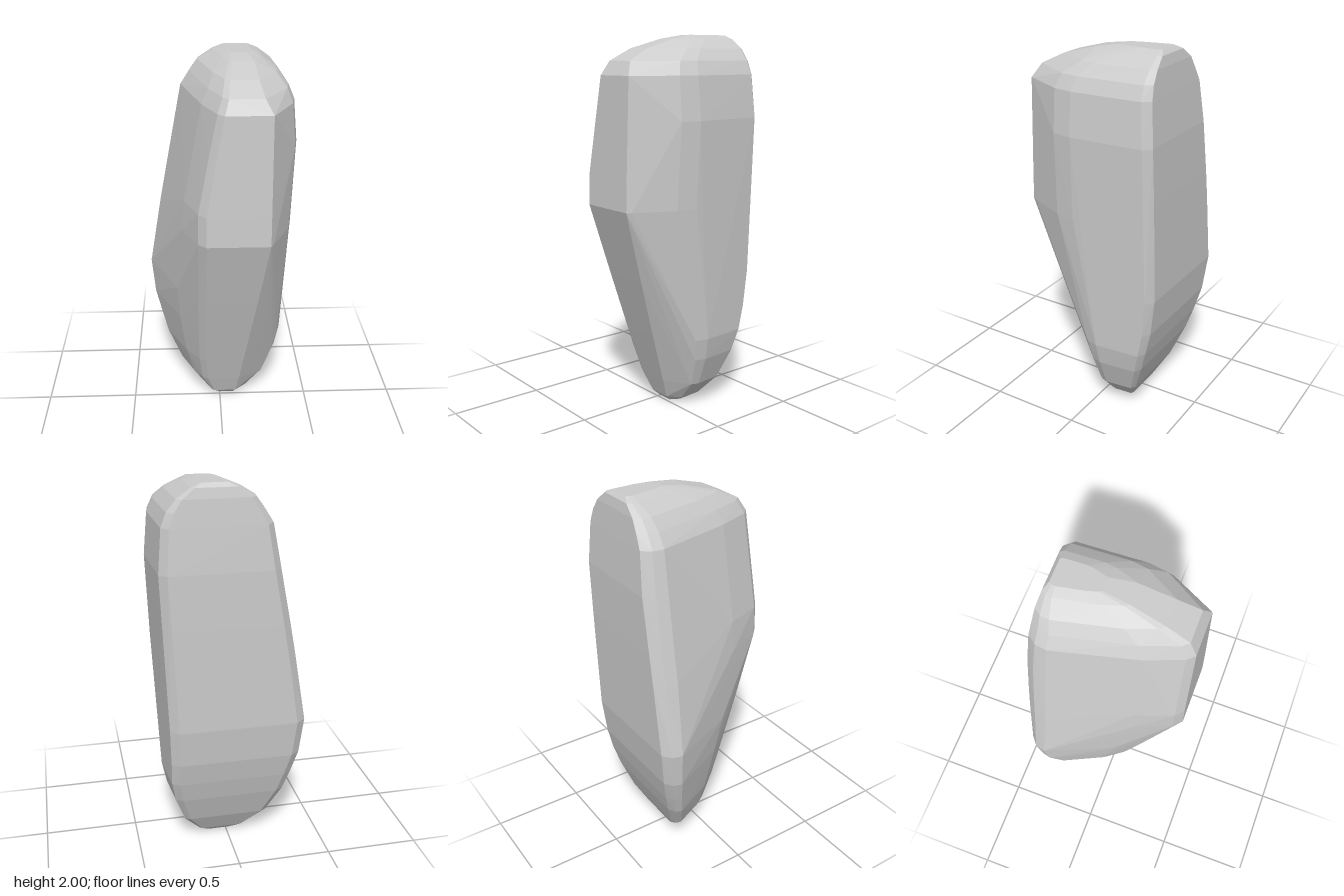
import * as THREE from 'three';
import { ConvexGeometry } from 'three/addons/geometries/ConvexGeometry.js';

// Height levels: y, left x, right x, front z, back z, front-face x range
const levels = [
  [0.00, -0.03, 0.11, -0.02, -0.15, 0.00, 0.08],
  [0.03, -0.10, 0.16, 0.01, -0.18, -0.03, 0.09],
  [0.14, -0.22, 0.26, 0.05, -0.24, -0.07, 0.11],
  [0.30, -0.30, 0.32, 0.105, -0.30, -0.08, 0.13],
  [0.42, -0.335, 0.345, 0.147, -0.335, -0.08, 0.145],
  [0.55, -0.37, 0.35, 0.19, -0.365, -0.08, 0.16],
  [0.75, -0.39, 0.358, 0.26, -0.388, -0.08, 0.19],
  [1.14, -0.325, 0.372, 0.39, -0.39, -0.08, 0.24],
  [1.30, -0.295, 0.378, 0.386, -0.39, -0.08, 0.24],
  [1.58, -0.24, 0.39, 0.377, -0.388, -0.03, 0.24],
  [1.80, -0.20, 0.37, 0.37, -0.372, 0.01, 0.24],
  [1.87, -0.155, 0.34, 0.33, -0.365, 0.03, 0.20],
  [1.93, -0.11, 0.29, 0.21, -0.36, 0.04, 0.18],
  [1.98, -0.03, 0.215, 0.03, -0.35, 0.06, 0.17],
  [2.00, 0.02, 0.165, -0.10, -0.33, 0.07, 0.14],
];

// One asymmetric outline: broad flat back, slanting left flank, steep right flank
function ring([y, xl, xr, zf, zb, fl, fr]) {
  const w = xr - xl, d = zf - zb;
  const left = [xl, zb + 0.14 * d];
  const outline = [
    [xl + 0.08 * w, zb], [xr - 0.09 * w, zb],
    [xr - 0.03 * w, zb + 0.05 * d],
    [xr, zb + 0.56 * d],
    [xr - 0.03 * w, zb + 0.7 * d],
    [fr + 0.02 * w, zf - 0.03 * d], [fr, zf],
    [fl, zf], [fl - 0.06 * w, zf - 0.05 * d],
    [THREE.MathUtils.lerp(xl, fl, 0.55) - 0.02 * w, zb + 0.7 * d],
    left, [xl + 0.015 * w, zb + 0.06 * d],
  ];
  return outline.map(([x, z]) => new THREE.Vector3(x, y, z));
}

export function createModel() {
  const group = new THREE.Group();
  group.name = 'standingStone';
  // Faceted boulder wrapped around all outlines
  const stone = new THREE.Mesh(
    new ConvexGeometry(levels.flatMap(ring)),
    new THREE.MeshStandardMaterial({ color: 0xcccccc, flatShading: true })
  );
  stone.name = 'stone';
  group.add(stone);
  return group;
}
